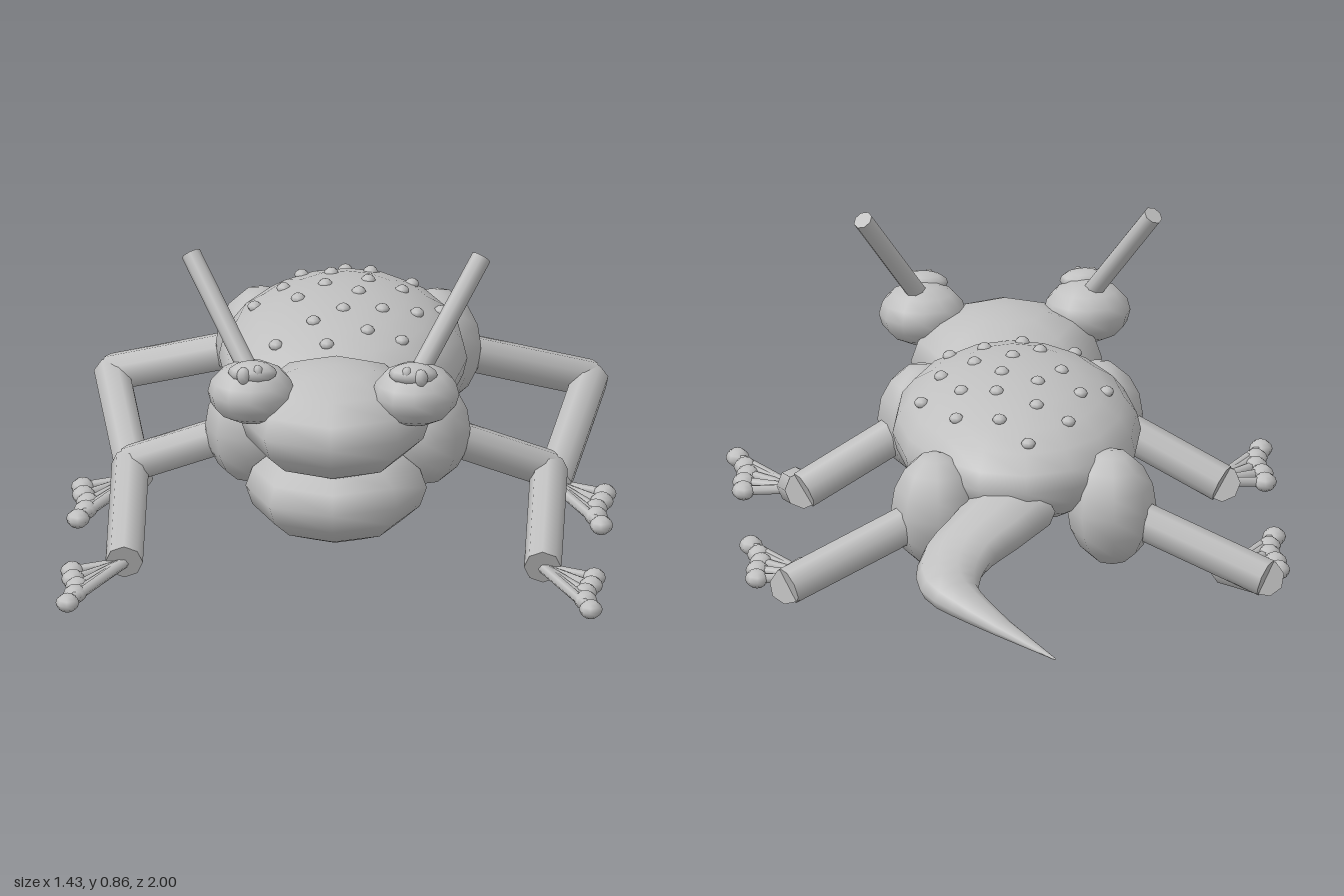
import * as THREE from 'three';

const grey = new THREE.MeshStandardMaterial({ color: 0xc0c0c0 });
grey.name = 'grey';

export function createModel() {
  const model = new THREE.Group();
  model.name = 'lizard';

  const add = (parent, name, geometry) => {
    const mesh = new THREE.Mesh(geometry, grey);
    mesh.name = name;
    parent.add(mesh);
    return mesh;
  };

  const ellipsoid = (parent, name, [x, y, z], [rx, ry, rz], w = 12, h = 8) => {
    const mesh = add(parent, name, new THREE.SphereGeometry(1, w, h).scale(rx, ry, rz));
    mesh.position.set(x, y, z);
  };

  // Cylinder running from point a to point b
  const rod = (parent, name, a, b, radius, sides = 8) => {
    const from = new THREE.Vector3(...a), to = new THREE.Vector3(...b);
    const dir = to.clone().sub(from);
    const mesh = add(parent, name, new THREE.CylinderGeometry(radius, radius, dir.length(), sides));
    mesh.position.copy(from).add(to).multiplyScalar(0.5);
    mesh.quaternion.setFromUnitVectors(new THREE.Vector3(0, 1, 0), dir.normalize());
  };

  // Trunk, head and throat
  ellipsoid(model, 'body', [0, 0.42, 0.045], [0.325, 0.175, 0.51], 16, 12);
  ellipsoid(model, 'head', [0, 0.43, 0.58], [0.25, 0.145, 0.283], 8, 8);
  ellipsoid(model, 'lowerJaw', [0, 0.212, 0.495], [0.237, 0.133, 0.253], 8, 8);

  // Bumps scattered over the back, resting on the body surface
  const bumps = [
    [-0.01, -0.36], [-0.12, -0.25], [0.06, -0.255], [-0.04, -0.19], [0.17, -0.2], [-0.16, -0.08], [0.06, -0.105],
    [-0.05, -0.05], [0.15, -0.06], [0.253, -0.025], [-0.233, 0], [0.04, 0.02], [-0.117, 0.053], [0.195, 0.09],
    [0.106, 0.13], [0.005, 0.155], [-0.07, 0.228], [0.073, 0.275], [0.163, 0.285], [-0.165, 0.313], [-0.03, 0.355],
  ];
  const backBumps = new THREE.Group();
  backBumps.name = 'backBumps';
  model.add(backBumps);
  for (const [x, z] of bumps) {
    const y = 0.42 + 0.173 * Math.sqrt(1 - (x / 0.325) ** 2 - ((z - 0.045) / 0.51) ** 2);
    ellipsoid(backBumps, 'bump', [x, y, z], [0.019, 0.014, 0.024], 8, 6);
  }

  // Tail: flattened rings along a curve, tapering to a point
  const path = new THREE.CatmullRomCurve3([
    [0.02, 0.36, -0.36], [0.1, 0.33, -0.47], [0.19, 0.287, -0.58], [0.213, 0.25, -0.7], [0.14, 0.215, -0.81], [-0.05, 0.15, -1],
  ].map(p => new THREE.Vector3(...p)));
  const radii = [0.12, 0.11, 0.095, 0.08, 0.05, 0.003];
  const rings = 15, sides = 10, pos = [], index = [];
  for (let i = 0; i <= rings; i++) {
    const t = i / rings, c = path.getPoint(t), d = path.getTangent(t);
    const k = Math.min(Math.floor(t * 5), 4);
    const r = THREE.MathUtils.lerp(radii[k], radii[k + 1], t * 5 - k);
    const side = new THREE.Vector3(-d.z, 0, d.x).normalize();
    const up = new THREE.Vector3().crossVectors(side, d).normalize();
    for (let j = 0; j < sides; j++) {
      const a = j / sides * Math.PI * 2;
      const p = c.clone().addScaledVector(side, r * Math.cos(a)).addScaledVector(up, r * 0.62 * Math.sin(a));
      pos.push(p.x, p.y, p.z);
      if (i < rings) {
        const n = (j + 1) % sides, o = i * sides;
        index.push(o + j, o + sides + j, o + n, o + n, o + sides + j, o + sides + n);
      }
    }
  }
  const tail = new THREE.BufferGeometry();
  tail.setAttribute('position', new THREE.Float32BufferAttribute(pos, 3));
  tail.setIndex(index);
  tail.computeVertexNormals();
  add(model, 'tail', tail);

  // Toe tips relative to the ankle: sideways and forward
  const toes = [[0.135, 0.022], [0.13, 0.088], [0.117, 0.148], [0.12, 0.21], [0.137, 0.285]];

  const buildLeg = (name, s, hip, hipSize, knee, ankle) => {
    const leg = new THREE.Group();
    leg.name = name;
    model.add(leg);
    const m = ([x, y, z]) => [s * x, y, z];
    ellipsoid(leg, 'thigh', m(hip), hipSize, 8, 8);
    rod(leg, 'upperLeg', m(hip), m(knee), 0.05);
    rod(leg, 'lowerLeg', m(knee), m(ankle), 0.049);
    toes.forEach(([dx, dz], i) => {
      const tip = [ankle[0] + dx, 0.038, ankle[2] + dz];
      rod(leg, 'toe', m([ankle[0], 0.052, ankle[2] - 0.01]), m(tip), 0.014, 6);
      ellipsoid(leg, 'toeTip', m(tip), [0.031, 0.024, 0.04], 8, 6);
    });
  };

  for (const s of [1, -1]) {
    const side = s > 0 ? 'left' : 'right';
    buildLeg(side + 'FrontLeg', s, [0.23, 0.34, 0.39], [0.117, 0.147, 0.127], [0.547, 0.19, 0.26], [0.547, 0.057, 0.677]);
    buildLeg(side + 'HindLeg', s, [0.23, 0.333, -0.315], [0.117, 0.155, 0.132], [0.625, 0.19, -0.495], [0.547, 0.057, -0.02]);

    // Eye with pupil, glints and the horn rising behind it
    const eye = new THREE.Group();
    eye.name = side + 'Eye';
    model.add(eye);
    ellipsoid(eye, 'eyeball', [s * 0.215, 0.53, 0.675], [0.114, 0.082, 0.112]);
    ellipsoid(eye, 'pupil', [s * 0.21, 0.598, 0.72], [0.064, 0.03, 0.042], 10, 8);
    ellipsoid(eye, 'glint', [s * 0.232, 0.598, 0.752], [0.018, 0.024, 0.016], 8, 6);
    ellipsoid(eye, 'glint', [s * 0.195, 0.608, 0.745], [0.014, 0.018, 0.014], 8, 6);
    rod(model, side + 'Horn', [s * 0.21, 0.56, 0.67], [s * 0.38, 0.85, 0.5], 0.026);
  }
  return model;
}
